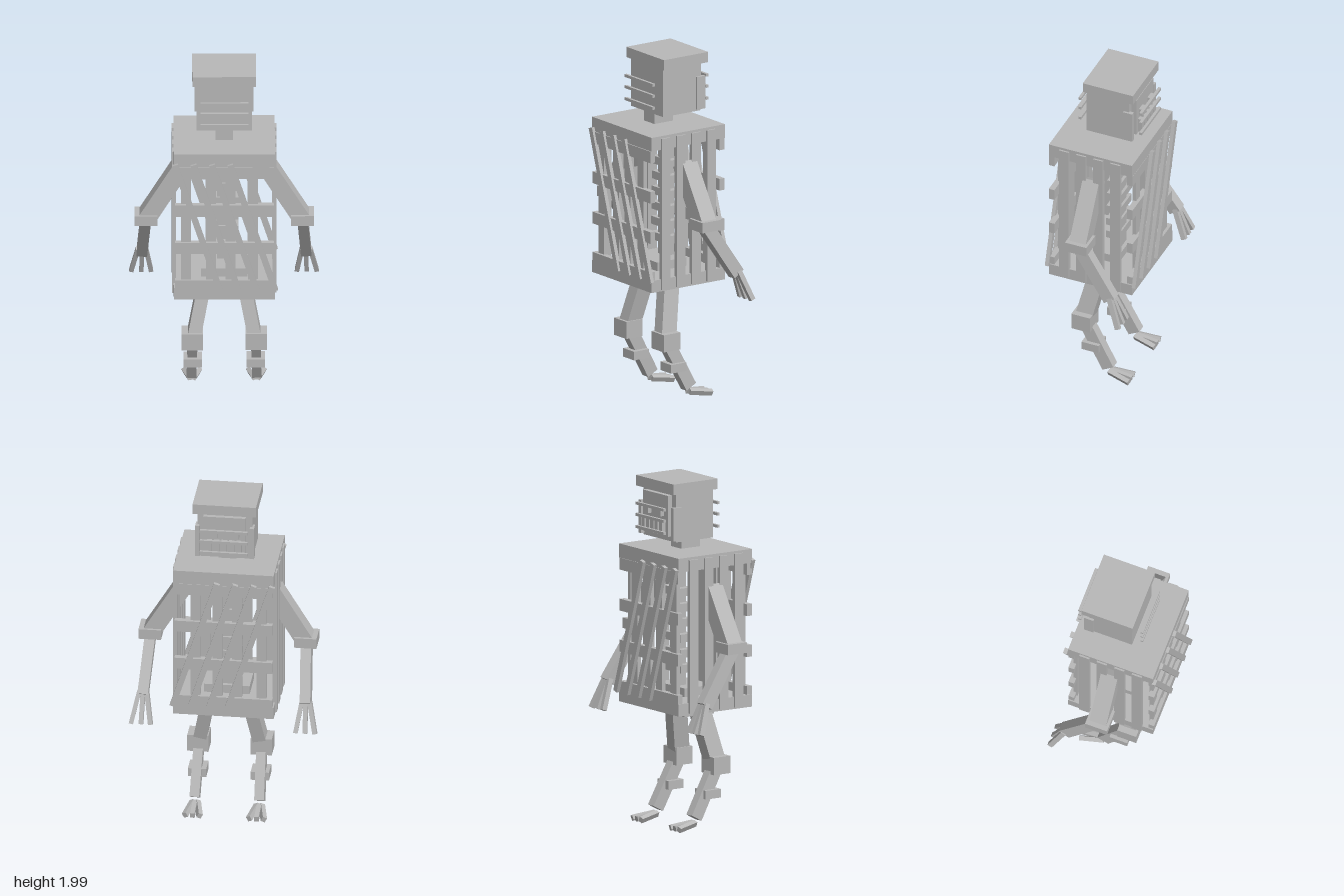
import * as THREE from 'three';

const V = (x, y, z) => new THREE.Vector3(x, y, z);

export function createModel() {
  const model = new THREE.Group();
  model.name = 'crateRobot';
  const grey = new THREE.MeshStandardMaterial({ color: 0xb8b8b8 });
  grey.name = 'plainGrey';

  // Axis-aligned box given by its extents
  function block(name, x0, x1, y0, y1, z0, z1) {
    const m = new THREE.Mesh(new THREE.BoxGeometry(x1 - x0, y1 - y0, z1 - z0), grey);
    m.position.set((x0 + x1) / 2, (y0 + y1) / 2, (z0 + z1) / 2);
    m.name = name;
    model.add(m);
    return m;
  }

  // Beam between two points; ref is the direction its depth faces
  function beam(name, a, b, width, depth, ref = V(0, 0, 1)) {
    const dir = b.clone().sub(a);
    const len = dir.length();
    dir.normalize();
    const x = dir.clone().cross(ref).normalize();
    const z = x.clone().cross(dir);
    const m = new THREE.Mesh(new THREE.BoxGeometry(width, len, depth), grey);
    m.quaternion.setFromRotationMatrix(new THREE.Matrix4().makeBasis(x, dir, z));
    m.position.copy(a).add(b).multiplyScalar(0.5);
    m.name = name;
    model.add(m);
  }

  // Head, cap and neck
  block('cap', -0.18, 0.18, 1.94, 2, -0.21, 0.098);
  block('head', -0.155, 0.155, 1.66, 1.94, -0.175, 0.085);
  block('neck', -0.05, 0.05, 1.59, 1.67, -0.06, 0.07);
  block('facePlate', -0.12, 0.12, 1.69, 1.925, -0.205, -0.17);
  for (const s of [-1, 1]) {
    block('cheekPost', s * 0.155 - 0.012, s * 0.155 + 0.012, 1.67, 1.86, -0.2, -0.143);
    block('eye', s * 0.06 - 0.025, s * 0.06 + 0.025, 1.805, 1.845, -0.23, -0.2);
  }
  // Grille bars before and behind the head
  for (const y of [1.715, 1.785, 1.85]) {
    block('frontBar', -0.135, 0.135, y - 0.008, y + 0.008, 0.128, 0.144);
    block('backBar', -0.135, 0.135, y - 0.008, y + 0.008, -0.246, -0.229);
  }
  for (let i = 0; i < 5; i++) {
    const x = -0.084 + i * 0.042;
    block('tooth', x - 0.015, x + 0.015, 1.7, 1.785, -0.23, -0.2);
  }

  // Crate torso
  block('crateLid', -0.285, 0.285, 1.515, 1.595, -0.25, 0.26);
  block('crateFloor', -0.285, 0.285, 0.69, 0.76, -0.25, 0.26);
  for (const s of [-1, 1]) {
    // Side slats
    for (const z of [0.165, 0.06, -0.045, -0.15]) {
      block('sideSlat', s * 0.283 - 0.012, s * 0.283 + 0.012, 0.7, 1.58, z - 0.03, z + 0.03);
    }
    // Rails, uprights and slanted slats on front and back
    const z = s > 0 ? 0.247 : -0.234;
    for (const y of [1.48, 1.245, 1.01, 0.775]) {
      block('rail', -0.278, 0.278, y - 0.034, y + 0.034, z - 0.017, z + 0.017);
    }
    for (const x of [-0.215, -0.075, 0.035, 0.16]) {
      block('upright', x - 0.028, x + 0.028, 0.75, 1.52, z - s * 0.012 - 0.012, z - s * 0.012 + 0.012);
    }
    for (let i = 0; i < 4; i++) {
      const dx = i * 0.104;
      beam('slantedSlat', V(-0.278 + dx, 1.535, s * 0.267), V(-0.025 + dx, 0.75, s * 0.267), 0.033, 0.022);
    }
  }

  // Spine and pelvis inside the crate
  block('spine', -0.04, 0.04, 0.76, 1.52, -0.075, -0.02);
  for (let i = 0; i < 6; i++) {
    const y = 1.35 - i * 0.088;
    block('vertebra', -0.08, 0.08, y - 0.023, y + 0.023, -0.095 + i * 0.002, -0.01 + i * 0.002);
  }
  block('pelvis', -0.13, 0.13, 0.645, 0.81, -0.097, 0.108);

  for (const s of [-1, 1]) {
    // Arm
    beam('upperArm', V(s * 0.245, 1.4, 0), V(s * 0.437, 1.085, 0), 0.1, 0.1);
    block('elbow', s * 0.441 - 0.064, s * 0.441 + 0.064, 1.055, 1.115, -0.066, 0.066);
    beam('forearm', V(s * 0.441, 1.085, 0.01), V(s * 0.462, 0.772, -0.2), 0.06, 0.075);
    const starts = [0.44, 0.462, 0.484], tips = [0.411, 0.465, 0.522];
    tips.forEach((x, i) => {
      beam('finger', V(s * starts[i], 0.79, -0.2), V(s * x, 0.62, -0.268), 0.025, 0.03);
    });

    // Leg
    beam('thigh', V(s * 0.105, 0.72, 0.01), V(s * 0.172, 0.38, 0.083), 0.075, 0.1);
    block('knee', s * 0.18 - 0.06, s * 0.18 + 0.06, 0.315, 0.415, 0.028, 0.142);
    beam('shin', V(s * 0.178, 0.35, 0.08), V(s * 0.184, 0.075, -0.07), 0.055, 0.075);
    block('ankleCuff', s * 0.178 - 0.052, s * 0.178 + 0.052, 0.18, 0.23, -0.022, 0.084);
    // Splayed toes, the outer ones rolled outwards
    [-1, 0, 1].forEach((t) => {
      const x = s * 0.182 + t * 0.014;
      beam('toe', V(x, 0.045, -0.07), V(x + t * 0.028, 0.026, -0.204), 0.026, 0.03, V(t * 0.5, 1, 0));
    });
  }

  return model;
}
